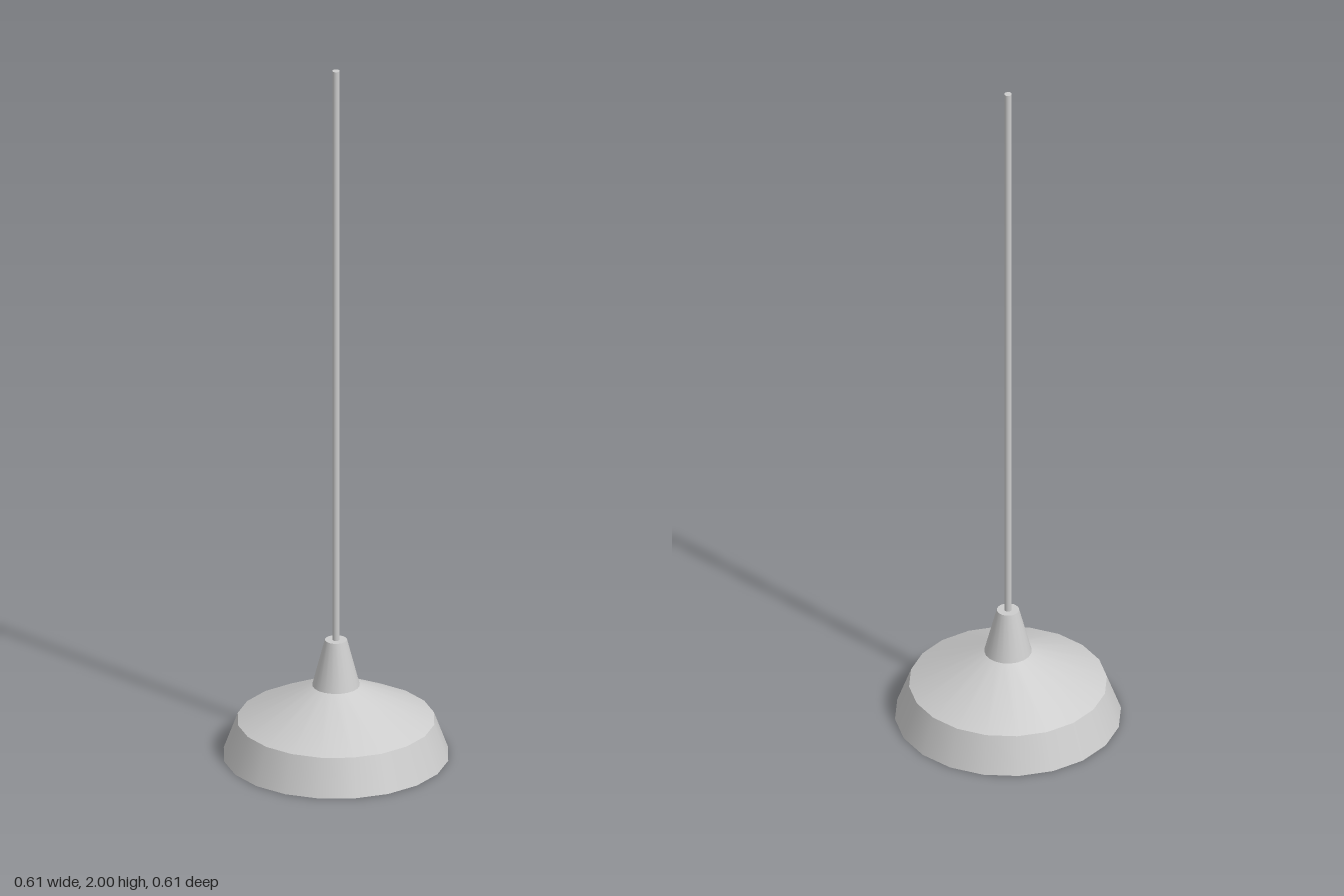
import * as THREE from 'three';

const SIDES = 20;

export function createModel() {
  const lamp = new THREE.Group();
  lamp.name = 'pendantLamp';
  const material = new THREE.MeshStandardMaterial({ color: 0xcccccc });

  // One smooth band turned around y, from (r0, y0) to (r1, y1); bands meet in sharp edges
  const addBand = (name, [r0, y0], [r1, y1]) => {
    const points = [new THREE.Vector2(r0, y0), new THREE.Vector2(r1, y1)];
    const mesh = new THREE.Mesh(new THREE.LatheGeometry(points, SIDES), material);
    mesh.name = name;
    lamp.add(mesh);
  };

  // Shade: hollow skirt with a thin rim, closed inside, under a shallow cone
  addBand('shadeCeiling', [0, 0.1], [0.254, 0.1]);
  addBand('shadeInnerWall', [0.254, 0.1], [0.29, 0]);
  addBand('shadeRim', [0.29, 0], [0.305, 0]);
  addBand('shadeSkirt', [0.305, 0], [0.267, 0.103]);
  addBand('shadeCone', [0.267, 0.103], [0.064, 0.203]);

  // Socket: tapered neck with a flat top
  addBand('socketNeck', [0.064, 0.203], [0.03, 0.335]);
  addBand('socketTop', [0.03, 0.335], [0, 0.335]);

  // Cord
  const cord = new THREE.Mesh(new THREE.CylinderGeometry(0.01, 0.01, 1.665, SIDES), material);
  cord.name = 'cord';
  cord.position.y = 0.335 + 1.665 / 2;
  lamp.add(cord);

  return lamp;
}
